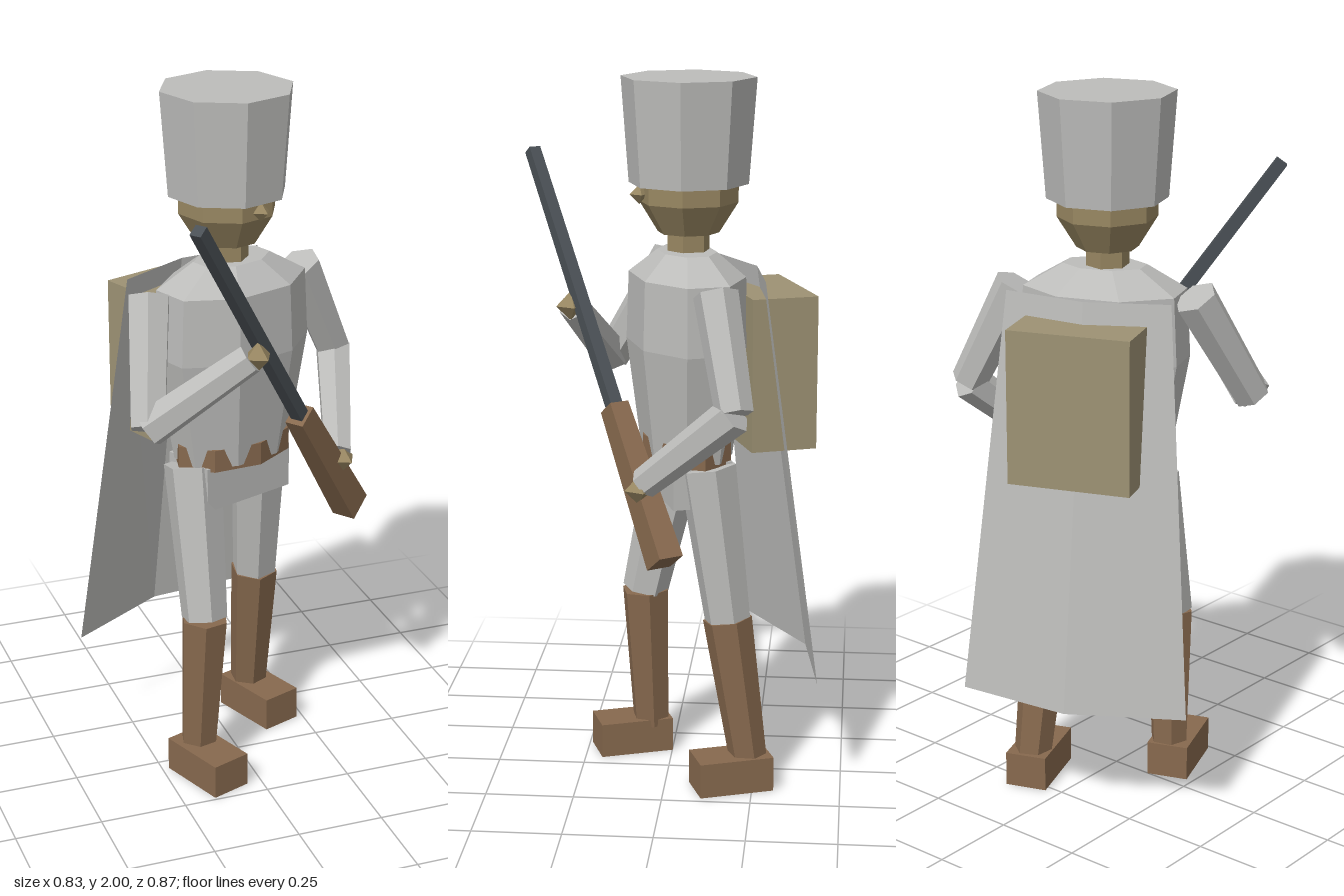
import * as THREE from 'three';

const mat = (name, color) => {
  const m = new THREE.MeshStandardMaterial({ color, flatShading: true, side: THREE.DoubleSide });
  m.name = name;
  return m;
};

export function createModel() {
  const grey = mat('greyCloth', 0xbcbcba);
  const tan = mat('tanCanvas', 0x9d9274);
  const skin = mat('skin', 0x988762);
  const brown = mat('brownLeather', 0x87694e);
  const steel = mat('gunSteel', 0x4a5055);

  const YAW = 0.35; // whole body is turned a little to its left
  const root = new THREE.Group();
  root.name = 'soldier';

  const add = (name, geo, material, pos = [0, 0, 0], yaw = 0) => {
    const m = new THREE.Mesh(geo, material);
    m.name = name;
    m.position.set(...pos);
    m.rotation.y = yaw;
    root.add(m);
    return m;
  };

  // Eight-sided turned form; profile is [radius, y] from bottom to top
  const turned = (profile, phi = Math.PI / 8, depth = 1) =>
    new THREE.LatheGeometry(profile.map(([r, y]) => new THREE.Vector2(r, y)), 8, phi).scale(1, 1, depth);

  // Tapered prism running from point a to point b
  const limb = (name, a, b, ra, rb, material, sides = 6, phi = 0) => {
    const A = new THREE.Vector3(...a), B = new THREE.Vector3(...b);
    const geo = new THREE.CylinderGeometry(rb, ra, A.distanceTo(B), sides, 1, false, phi);
    geo.rotateX(Math.PI / 2);
    const m = add(name, geo, material, A.clone().add(B).multiplyScalar(0.5).toArray());
    m.lookAt(B);
    return m;
  };

  // Torso, belt and pelvis
  add('torso', turned([[0, 0.955], [0.185, 0.955], [0.245, 1.27], [0.235, 1.46], [0.12, 1.525], [0, 1.525]],
    Math.PI / 8, 0.66), grey, [0, 0, -0.05], YAW);
  add('belt', turned([[0, 0.945], [0.192, 0.945], [0.192, 1.01], [0, 1.01]], 0, 0.66), brown, [0, 0, -0.05], YAW);
  add('pelvis', new THREE.BoxGeometry(0.3, 0.13, 0.17), grey, [-0.005, 0.89, -0.055], YAW);

  // Head and tall hat
  const headPos = [-0.012, 0, -0.053];
  add('neck', new THREE.CylinderGeometry(0.06, 0.06, 0.1, 6), skin, [headPos[0], 1.55, headPos[2]], YAW);
  add('head', turned([[0, 1.575], [0.085, 1.575], [0.138, 1.66], [0.138, 1.72], [0, 1.72]]), skin, headPos, YAW);
  add('nose', new THREE.OctahedronGeometry(0.027), skin, [0.038, 1.685, 0.078], YAW);
  add('hat', turned([[0, 1.71], [0.166, 1.71], [0.187, 2], [0, 2]]), grey, headPos, YAW);

  // Legs: hip, knee, ankle, foot centre
  const legs = [
    ['left', [0.105, 0.94, -0.115], [0.115, 0.5, -0.175], [0.12, 0.08, -0.237], [0.137, 0.05, -0.19]],
    ['right', [-0.13, 0.94, -0.015], [-0.13, 0.5, 0.08], [-0.145, 0.08, 0.065], [-0.137, 0.05, 0.12]],
  ];
  for (const [side, hip, knee, ankle, foot] of legs) {
    limb(side + 'Thigh', hip, knee, 0.083, 0.066, grey);
    limb(side + 'Boot', knee, ankle, 0.07, 0.054, brown);
    add(side + 'Foot', new THREE.BoxGeometry(0.12, 0.1, 0.215), brown, foot, YAW);
  }

  // Arms: shoulder, elbow, wrist, hand
  const arms = [
    ['left', [0.235, 1.45, -0.145], [0.37, 1.155, -0.205], [0.285, 0.935, 0.045], [0.295, 0.92, 0.055]],
    ['right', [-0.26, 1.46, 0.015], [-0.325, 1.155, 0.195], [-0.065, 1.35, 0.275], [-0.045, 1.355, 0.28]],
  ];
  for (const [side, shoulder, elbow, wrist, hand] of arms) {
    limb(side + 'UpperArm', shoulder, elbow, 0.062, 0.052, grey);
    limb(side + 'Forearm', elbow, wrist, 0.054, 0.043, grey);
    add(side + 'Hand', new THREE.OctahedronGeometry(0.042), skin, hand, YAW);
  }

  // Rifle held across the body
  limb('rifleBarrel', [0.16, 1.06, 0.118], [-0.255, 1.765, 0.412], 0.026, 0.024, steel, 4, Math.PI / 4);
  const stock = limb('rifleStock', [0.355, 0.735, -0.02], [0.13, 1.11, 0.139], 0.06, 0.047, brown, 4, Math.PI / 4);
  stock.scale.x = 0.85;

  // Backpack
  add('backpack', new THREE.BoxGeometry(0.345, 0.43, 0.188), tan, [-0.088, 1.195, -0.266], YAW + 0.01);

  // Cape: two folded panels between a top and a bottom edge
  const cape = new THREE.BufferGeometry();
  cape.setAttribute('position', new THREE.Float32BufferAttribute([
    -0.28, 1.47, -0.115, -0.08, 1.47, -0.24, 0.16, 1.47, -0.275,
    -0.415, 0.34, -0.21, -0.13, 0.34, -0.39, 0.2, 0.34, -0.432,
  ], 3));
  cape.setIndex([0, 1, 4, 0, 4, 3, 1, 2, 5, 1, 5, 4]);
  cape.computeVertexNormals();
  add('cape', cape, grey);

  return root;
}
